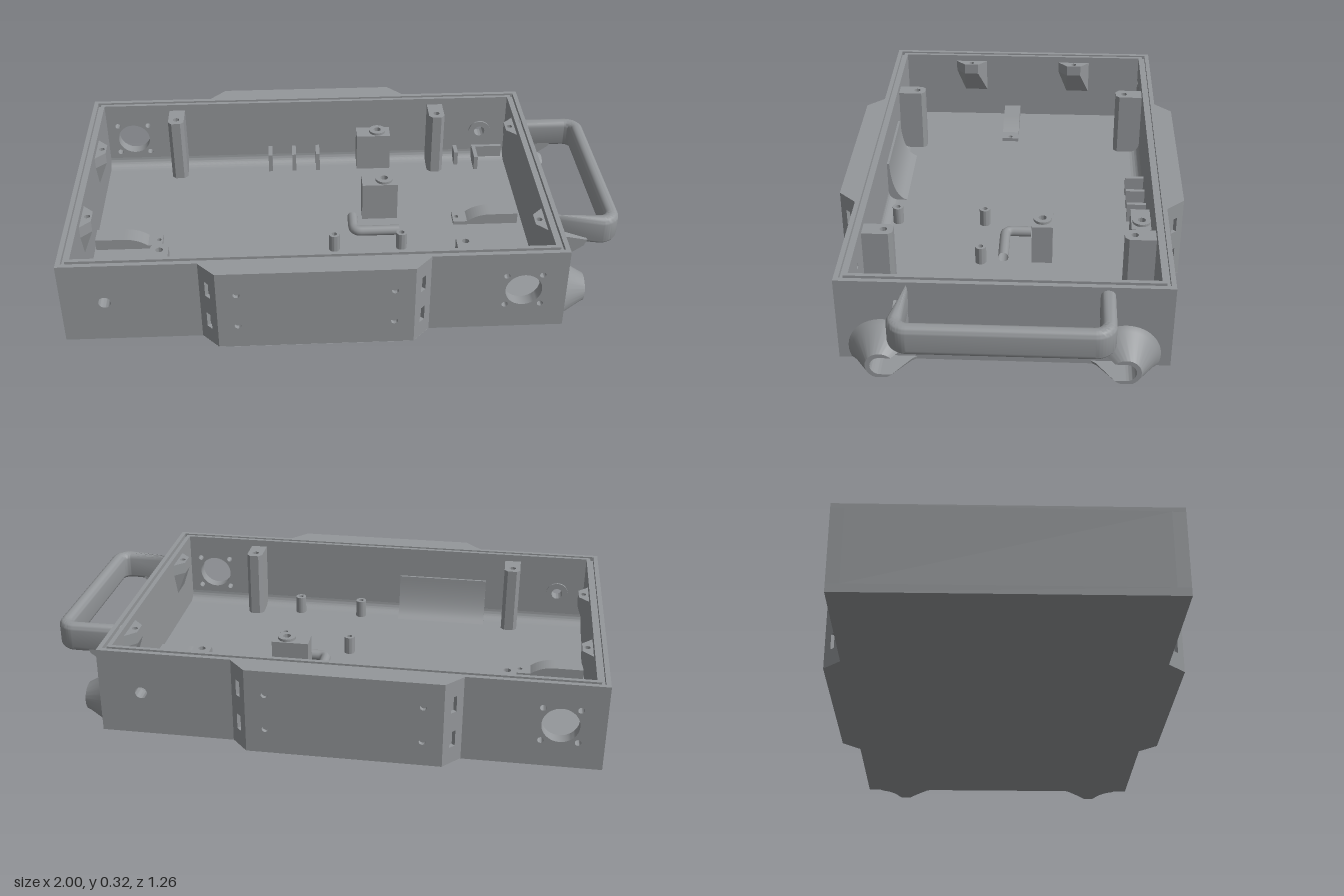
import * as THREE from 'three';
import { toCreasedNormals } from 'three/addons/utils/BufferGeometryUtils.js';

const C = -0.115, HX = 0.885, HZ = 0.565, H = 0.322, FLOOR = 0.03, WALL = 0.045;

export function createModel() {
  const root = new THREE.Group();
  const mat = new THREE.MeshStandardMaterial({ color: 0x94979a, side: THREE.DoubleSide });

  const add = (parent, name, geo) => {
    const m = new THREE.Mesh(geo, mat);
    m.name = name;
    parent.add(m);
    return m;
  };
  // box given by its limits
  const box = (parent, name, x0, x1, y0, y1, z0, z1) => {
    const g = new THREE.BoxGeometry(x1 - x0, y1 - y0, z1 - z0);
    g.translate((x0 + x1) / 2, (y0 + y1) / 2, (z0 + z1) / 2);
    return add(parent, name, g);
  };
  const poly = (pts) => new THREE.Shape(pts.map((p) => new THREE.Vector2(p[0], p[1])));
  const rect = (x0, x1, y0, y1) => poly([[x0, y0], [x1, y0], [x1, y1], [x0, y1]]);
  const circle = (x, y, r) => new THREE.Path().absarc(x, y, r, 0, Math.PI * 2, true);
  const washer = (x, y, r, hole) => {
    const s = new THREE.Shape().absarc(x, y, r, 0, Math.PI * 2);
    s.holes.push(circle(x, y, hole));
    return s;
  };
  const extrude = (shape, depth) => toCreasedNormals(
    new THREE.ExtrudeGeometry(shape, { depth, bevelEnabled: false, curveSegments: 20 }), 0.6);
  // plan outline with points (x, -z), raised from y0 to y1
  const raise = (shape, y0, y1) => extrude(shape, y1 - y0).rotateX(-Math.PI / 2).translate(0, y0, 0);

  // case floor and end walls
  const x0 = C - HX, x1 = C + HX, top = 0.306;
  box(root, 'floor', x0, x1, 0, FLOOR, -HZ, HZ);
  box(root, 'endWallRight', x0, x0 + WALL, FLOOR, top, -HZ + WALL, HZ - WALL);
  box(root, 'endWallLeft', x1 - WALL, x1, FLOOR, top, -HZ + WALL, HZ - WALL);

  // two lips with a seal groove between them
  const ring = (a, b) => {
    const s = rect(x0 + a, x1 - a, -HZ + a, HZ - a);
    s.holes.push(rect(x0 + b, x1 - b, -HZ + b, HZ - b));
    return s;
  };
  add(root, 'outerLip', raise(ring(0, 0.017), top, H));
  add(root, 'innerLip', raise(ring(0.03, WALL), top, H));

  // long sides: the same half, turned by 180 degrees
  for (const turn of [0, Math.PI]) {
    const side = new THREE.Group();
    side.name = turn ? 'backSide' : 'frontSide';
    side.position.x = C;
    side.rotation.y = turn;
    root.add(side);

    // wall with cable hole, fan opening and fan screw holes
    const wall = rect(-HX, HX, FLOOR, top);
    wall.holes.push(circle(-0.7325, 0.163, 0.022), circle(0.7325, 0.163, 0.065));
    for (const i of [-1, 1]) for (const j of [-1, 1])
      wall.holes.push(circle(0.7325 + i * 0.063, 0.163 + j * 0.063, 0.011));
    add(side, 'longWall', extrude(wall, WALL).translate(0, 0, HZ - WALL));
    add(side, 'cableBoss', extrude(washer(-0.7325, 0.163, 0.045, 0.022), 0.008)
      .translate(0, 0, HZ - WALL - 0.008));

    // raised pad: core, end caps, drilled face and slotted slanted cheeks
    const e = 0.001;
    const core = poly([[-0.385, -0.56], [0.385, -0.56], [0.334, -0.614], [-0.334, -0.614]]);
    add(side, 'padCore', raise(core, e, H - e));
    const outline = poly([[-0.4025, -HZ], [-0.3425, -0.63], [0.3425, -0.63], [0.4025, -HZ]]);
    for (const y of [0, H])
      add(side, 'padCap', new THREE.ShapeGeometry(outline).rotateX(y ? -Math.PI / 2 : Math.PI / 2)
        .scale(1, 1, y ? 1 : -1).translate(0, y, 0));
    const face = rect(-0.3425, 0.3425, e, H - e);
    for (const x of [-0.2725, 0.2725]) for (const y of [0.095, 0.23])
      face.holes.push(circle(x, y, 0.012));
    add(side, 'padFace', extrude(face, 0.015).translate(0, 0, 0.615));
    for (const s of [-1, 1]) {
      const w = Math.hypot(0.06, 0.065) / 2;
      const cheek = rect(-w, w, e, H - e);
      for (const y of [0.095, 0.23]) cheek.holes.push(rect(-0.013, 0.013, y - 0.03, y + 0.03));
      const m = add(side, 'padCheek', extrude(cheek, 0.015).translate(0, 0, -0.015));
      m.position.set(s * 0.3725, 0, 0.5975);
      m.rotation.y = s * Math.atan2(0.065, 0.06);
    }

    // concave fillet between wall and floor
    const R = 0.04, f = new THREE.Shape();
    f.moveTo(0, 0).lineTo(0, R).absarc(-R, R, R, 0, -Math.PI / 2, true).lineTo(0, 0);
    add(side, 'floorFillet', extrude(f, 2 * (HX - WALL)).rotateY(-Math.PI / 2)
      .translate(HX - WALL, FLOOR, HZ - WALL));
  }

  // lid screw posts along the long walls
  for (const x of [-0.657, 0.42]) for (const s of [-1, 1]) {
    const p = poly([[x - 0.032, -s * 0.52], [x + 0.032, -s * 0.52], [x + 0.032, -s * 0.425],
      [x + 0.018, -s * 0.41], [x - 0.018, -s * 0.41], [x - 0.032, -s * 0.425]]);
    p.holes.push(circle(x, -s * 0.445, 0.013));
    add(root, 'lidPost', raise(p, FLOOR, 0.295));
  }
  // lid screw tabs on the end walls, tapering into the wall below
  for (const [x, d, zz] of [[-0.957, 1, 0.23], [0.727, -1, 0.327]]) for (const s of [-1, 1]) {
    const z = s * zz;
    const tab = () => poly([[x, z - 0.07], [x + d * 0.04, z - 0.03], [x + d * 0.04, z + 0.03], [x, z + 0.07]]);
    const plate = tab();
    plate.holes.push(circle(x + d * 0.022, z, 0.011));
    add(root, 'endTab', raise(plate, 0.25, 0.295));
    const taper = raise(tab(), 0.15, 0.25), p = taper.attributes.position;
    for (let i = 0; i < p.count; i++) if (p.getY(i) < 0.2) p.setX(i, x);
    taper.computeVertexNormals();
    add(root, 'endTabTaper', taper);
  }

  // board standoffs
  for (const x of [-0.03, 0.23]) for (const z of [0.115, 0.46])
    add(root, 'standoff', raise(washer(x, -z, 0.021, 0.01), FLOOR, 0.1));

  // mounting blocks with a bored boss
  for (const [za, zb] of [[-0.525, -0.447], [-0.155, -0.077]]) {
    const z = (za + zb) / 2;
    const b = rect(0.09, 0.23, -zb, -za);
    b.holes.push(circle(0.178, -z, 0.034));
    add(root, 'mountBlock', raise(b, FLOOR, 0.19));
    add(root, 'mountBoss', raise(washer(0.178, -z, 0.034, 0.015), FLOOR, 0.2));
  }

  // ribs on the back wall
  for (const x of [-0.275, -0.175, -0.075])
    box(root, 'rib', x - 0.008, x + 0.008, FLOOR, 0.11, -0.52, -0.445);
  box(root, 'cornerRib', 0.508, 0.524, FLOOR, 0.09, -0.52, -0.46);
  box(root, 'cornerRib', 0.588, 0.604, FLOOR, 0.09, -0.52, -0.42);
  box(root, 'cornerPlate', 0.604, 0.715, FLOOR, 0.09, -0.52, -0.505);

  // concave ramp panel on the front wall
  const ramp = new THREE.Shape();
  ramp.moveTo(0, 0).lineTo(0, 0.17).lineTo(-0.01, 0.17).quadraticCurveTo(-0.015, 0.02, -0.075, 0);
  add(root, 'frontPanel', extrude(ramp, 0.36).rotateY(-Math.PI / 2).translate(-0.19, FLOOR, 0.521));

  // floor clips: curved strap with a drilled foot
  for (const [x, d, z] of [[-0.95, 1, 0.045], [0.705, -1, -0.055]]) {
    const clip = new THREE.Group();
    clip.name = 'floorClip';
    clip.position.set(x, FLOOR, z);
    clip.rotation.y = d > 0 ? 0 : Math.PI;
    root.add(clip);
    const strap = new THREE.Shape();
    strap.moveTo(0, 0).lineTo(0, 0.045).lineTo(0.11, 0.045)
      .quadraticCurveTo(0.16, 0.045, 0.2, 0.015).lineTo(0.2, 0);
    add(clip, 'strap', extrude(strap, 0.07).translate(0, 0, -0.035));
    const foot = rect(0.2, 0.255, -0.035, 0.035);
    foot.holes.push(circle(0.24, 0, 0.009));
    add(clip, 'clipFoot', raise(foot, 0, 0.015));
  }

  // bent rod hook on the floor
  const rod = new THREE.CurvePath(), v = (x, z) => new THREE.Vector3(x, 0.05, z);
  rod.add(new THREE.LineCurve3(v(0.05, -0.07), v(0.05, 0)));
  rod.add(new THREE.QuadraticBezierCurve3(v(0.05, 0), v(0.05, 0.03), v(0.08, 0.03)));
  rod.add(new THREE.LineCurve3(v(0.08, 0.03), v(0.228, 0.03)));
  add(root, 'floorHook', new THREE.TubeGeometry(rod, 32, 0.02, 12));

  // carrying handle: U-shaped bar with rounded edges
  const b = 0.023, q = Math.PI / 2, u = new THREE.Shape();
  u.moveTo(0.735, -0.368).absarc(0.93, -0.298, 0.07, -q, 0, false)
    .absarc(0.93, 0.298, 0.07, 0, q, false).lineTo(0.735, 0.368).lineTo(0.735, 0.318)
    .absarc(0.925, 0.293, 0.025, q, 0, true).absarc(0.925, -0.293, 0.025, 0, -q, true)
    .lineTo(0.735, -0.318);
  const bar = new THREE.ExtrudeGeometry(u, { depth: 0.11 - 2 * b, bevelThickness: b, bevelSize: b,
    bevelOffset: -b, bevelSegments: 5, curveSegments: 10 });
  add(root, 'handle', toCreasedNormals(bar, 0.7).rotateX(-Math.PI / 2).translate(0, 0.2 + b, 0));
  for (const s of [-1, 1]) {
    const gusset = poly([[0.76, 0.13], [0.785, 0.14], [0.87, 0.2], [0.88, 0.225], [0.76, 0.25]]);
    add(root, 'handleGusset', extrude(gusset, 0.046).translate(0, 0, s * 0.343 - 0.023));
  }

  // flared cord hooks: a bored cone, flat below, with a channel toward the middle
  const W = 0.035;
  const profile = [[W, 0], [W, 0.1], [0.051, 0.1], [0.105, 0.012], [0.12, 0]];
  for (const s of [-1, 1]) {
    const hook = new THREE.Group();
    hook.name = 'cordHook';
    root.add(hook);
    const cone = new THREE.LatheGeometry(profile.map((p) => new THREE.Vector2(p[0], p[1])), 48);
    const pos = cone.attributes.position, uv = cone.attributes.uv;
    for (let i = 0; i < pos.count; i++) {
      const r = Math.hypot(pos.getX(i), pos.getZ(i)), h = pos.getY(i);
      const gap = Math.asin(Math.min(1, W / r));
      const a = gap + uv.getX(i) * (2 * Math.PI - 2 * gap);
      pos.setXYZ(i, x1 + h, Math.max(0, 0.047 + r * Math.sin(a)), s * (0.41 - r * Math.cos(a)));
    }
    // a mirrored sweep needs its corners reversed
    if (s < 0) cone.index.array.reverse();
    add(hook, 'hookCone', toCreasedNormals(cone, 0.6));
    for (const side of [-1, 1]) {
      const g = new THREE.ShapeGeometry(poly(profile.map(([r, h]) => [Math.sqrt(r * r - W * W), h])));
      const p = g.attributes.position;
      for (let i = 0; i < p.count; i++)
        p.setXYZ(i, x1 + p.getY(i), 0.047 + side * W, s * (0.41 - p.getX(i)));
      g.computeVertexNormals();
      add(hook, 'channelWall', g);
    }
  }
  return root;
}
